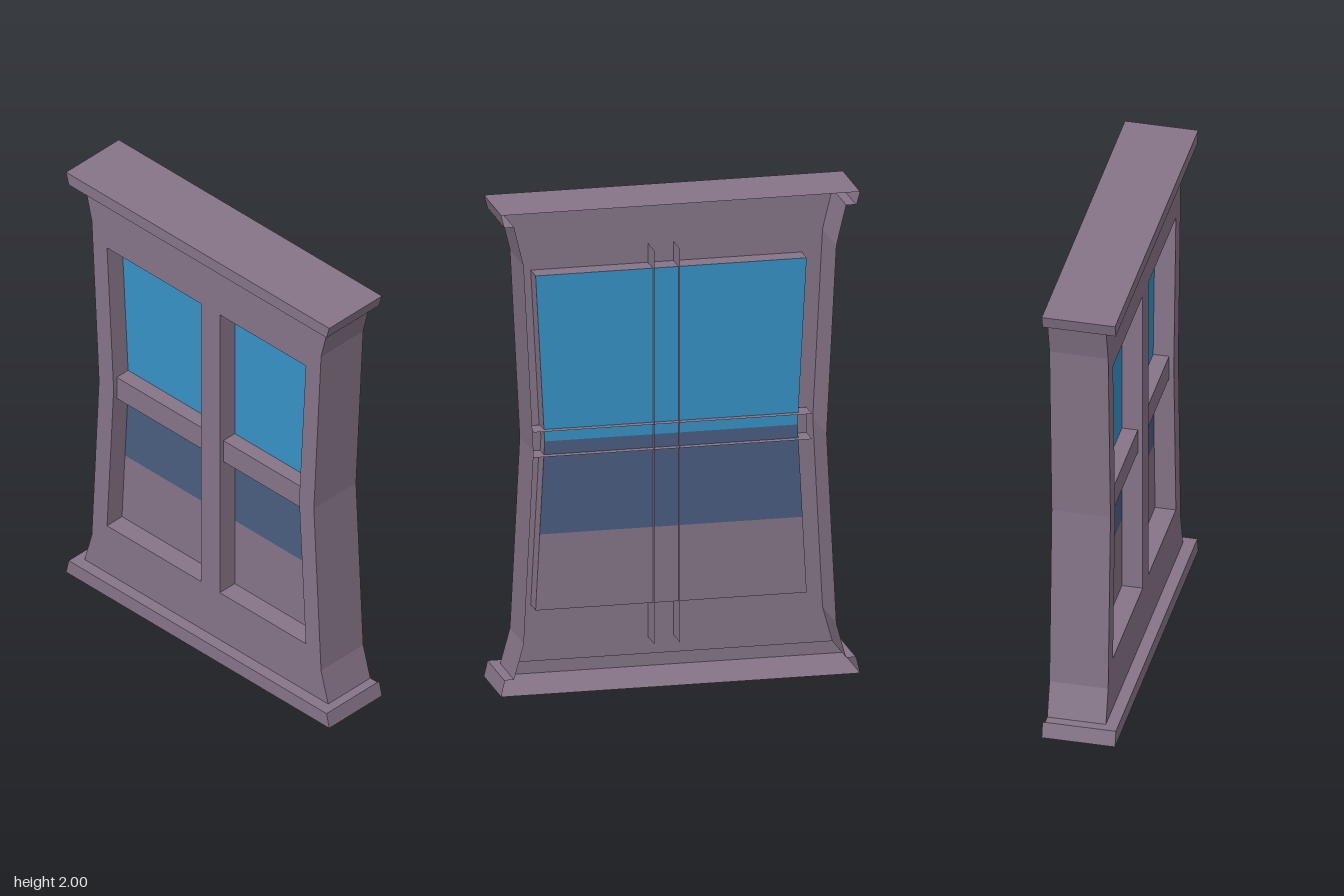
import * as THREE from 'three';

const material = (name, color) =>
  new THREE.MeshStandardMaterial({ name, color, side: THREE.DoubleSide });

export function createModel() {
  const model = new THREE.Group();
  model.name = 'window';
  const frame = material('mauve frame', 0x857487);
  const sky = material('blue glass', 0x3692c6);
  const navy = material('dark blue glass', 0x4a5d80);

  const add = (name, geometry, mat = frame) => {
    const mesh = new THREE.Mesh(geometry, mat);
    mesh.name = name;
    model.add(mesh);
    return mesh;
  };
  const v2 = (pts) => pts.map(([x, y]) => new THREE.Vector2(x, y));

  // Flat sheet facing +z, with optional holes
  const sheet = (name, pts, z, mat = frame, holes = []) => {
    const shape = new THREE.Shape(v2(pts));
    holes.forEach((h) => shape.holes.push(new THREE.Path(v2(h))));
    return add(name, new THREE.ShapeGeometry(shape).translate(0, 0, z), mat);
  };

  // Thin wall: an x,y path swept from z0 to z1
  const wall = (name, path, z0, z1) => {
    const pos = [];
    for (let i = 0; i + 1 < path.length; i++) {
      const [a, b] = path[i], [c, d] = path[i + 1];
      pos.push(a, b, z0, c, d, z0, c, d, z1, a, b, z0, c, d, z1, a, b, z1);
    }
    const g = new THREE.BufferGeometry();
    g.setAttribute('position', new THREE.Float32BufferAttribute(pos, 3));
    g.computeVertexNormals();
    return add(name, g);
  };

  const front = 0.1, glassZ = 0.015;
  const flip = (pts) => pts.map(([x, y]) => [-x, y]).reverse();

  // Waisted front panel with two openings beside the mullion
  const side = [[0.68, 0.065], [0.64, 0.21], [0.6, 1], [0.64, 1.78], [0.68, 1.945]];
  const opening = [[0.555, 0.3], [0.518, 1], [0.555, 1.69]];
  const left = [[0.075, 0.3], ...opening, [0.075, 1.69]];
  const right = [[-0.03, 1.69], ...flip(opening), [-0.03, 0.3]];
  sheet('frontPanel', [...side, ...flip(side)], front, frame, [left, right]);

  // Curved side walls, open at the back
  wall('leftWall', side, -0.14, front);
  wall('rightWall', flip(side), -0.14, front);

  // Recess walls running in to the glass
  wall('recess', [...opening, ...flip(opening), opening[0]], glassZ, front);

  // Panes and solid lower panel, in one plane
  const halfWidth = (y) => 0.518 + 0.037 * Math.abs(y - 1) / (y > 1 ? 0.69 : 0.7);
  const band = (name, y0, y1, mat) => {
    const a = halfWidth(y0), b = halfWidth(y1);
    sheet(name, [[-a, y0], [a, y0], [b, y1], [-b, y1]], glassZ, mat);
  };
  band('upperGlass', 1, 1.69, sky);
  band('lowerGlass', 0.615, 1, navy);
  band('lowerPanel', 0.3, 0.615, frame);

  // Mullion sides and crossbar, reaching through behind the glass
  for (const x of [-0.03, 0.075]) wall('mullionSide', [[x, 0.135], [x, 1.77]], -0.014, front - 0.001);
  for (const y of [0.945, 1.05]) wall('crossbarEdge', [[-0.57, y], [0.57, y]], -0.017, 0.08);
  sheet('crossbarFront', [[-0.57, 0.945], [0.57, 0.945], [0.57, 1.05], [-0.57, 1.05]], 0.08);

  // Cornice and sill: flared shells, open at the back
  const ledge = [[-0.72, -0.15], [0.72, -0.15], [0.72, 0.14], [0.68, 0.14],
    [0.68, -0.1], [-0.68, -0.1], [-0.68, 0.14], [-0.72, 0.14]];
  for (const [name, inner, outer] of [['cornice', 1.945, 2], ['sill', 0.065, 0]]) {
    const outline = [[0.72, inner], [0.735, outer], [-0.735, outer], [-0.72, inner]];
    sheet(name + 'Front', outline, 0.15);
    wall(name + 'Shell', outline, -0.15, 0.15);
    const geometry = new THREE.ShapeGeometry(new THREE.Shape(v2(ledge)));
    add(name + 'Ledge', geometry.rotateX(-Math.PI / 2).translate(0, inner, 0));
  }
  return model;
}
